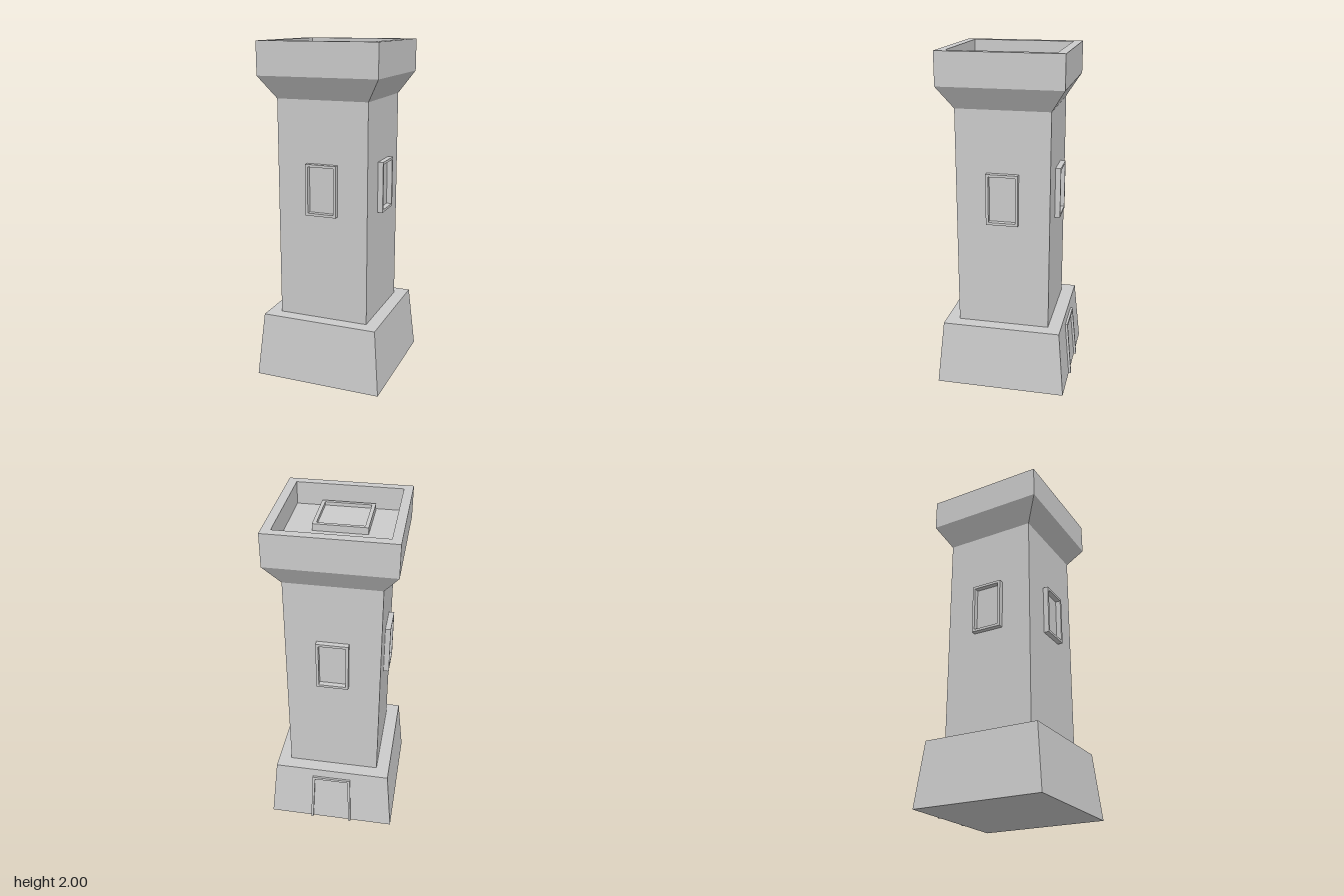
import * as THREE from 'three';

const stone = new THREE.MeshStandardMaterial({ color: 0xcccccc });
stone.name = 'stone';

// Mesh with hard edges
function part(name, geometry) {
  const g = geometry.index ? geometry.toNonIndexed() : geometry;
  g.computeVertexNormals();
  const mesh = new THREE.Mesh(g, stone);
  mesh.name = name;
  return mesh;
}

// Square solid from a profile of [half width, height] points
function squareLathe(name, profile) {
  const points = profile.map(([half, y]) => new THREE.Vector2(half * Math.SQRT2, y));
  return part(name, new THREE.LatheGeometry(points, 4, Math.PI / 4));
}

// Flat outline extruded along +z, with an optional opening
function frame(name, outer, inner, depth) {
  const toPoints = (list) => list.map(([x, y]) => new THREE.Vector2(x, y));
  const shape = new THREE.Shape(toPoints(outer));
  if (inner) shape.holes.push(new THREE.Path(toPoints(inner)));
  return part(name, new THREE.ExtrudeGeometry(shape, { depth, bevelEnabled: false }));
}

const rect = (w, h) => [[-w, -h], [w, -h], [w, h], [-w, h]];

export function createModel() {
  const model = new THREE.Group();
  model.name = 'tower';
  const tower = new THREE.Group();
  tower.name = 'towerBody';
  tower.position.z = 0.007;
  model.add(tower);

  // Sloped plinth, shaft and flared top with a sunken roof
  tower.add(
    squareLathe('plinth', [[0, 0], [0.387, 0], [0.351, 0.385], [0.273, 0.385]]),
    squareLathe('shaft', [[0.273, 0.385], [0.273, 1.68]]),
    squareLathe('parapet', [[0.273, 1.68], [0.356, 1.81], [0.356, 2], [0.305, 2], [0.305, 1.87], [0, 1.87]])
  );

  // One framed window on each side
  for (let i = 0; i < 4; i++) {
    const side = new THREE.Group();
    side.name = 'windowSide' + (i + 1);
    side.rotation.y = (i * Math.PI) / 2;
    const win = frame('windowFrame', rect(0.093, 0.15), rect(0.078, 0.135), 0.031);
    win.position.set(0, 1.17, 0.273);
    side.add(win);
    tower.add(side);
  }

  // Roof hatch with a raised rim
  const hatch = new THREE.Group();
  hatch.name = 'roofHatch';
  hatch.position.set(0, 1.87, 0.13);
  const rim = frame('hatchRim', rect(0.154, 0.154), rect(0.133, 0.133), 0.04);
  rim.rotation.x = -Math.PI / 2;
  const lid = part('hatchLid', new THREE.BoxGeometry(0.266, 0.02, 0.266));
  lid.position.y = 0.01;
  hatch.add(rim, lid);
  tower.add(hatch);

  // Tapered door frame leaning with the back of the plinth
  const back = new THREE.Group();
  back.name = 'doorSide';
  back.rotation.y = Math.PI;
  const door = frame('doorFrame', [
    [-0.129, 0], [-0.115, 0], [-0.104, 0.318], [0.104, 0.318],
    [0.115, 0], [0.129, 0], [0.118, 0.333], [-0.118, 0.333]
  ], null, 0.014);
  door.position.z = 0.387;
  door.rotation.x = -Math.atan2(0.036, 0.385);
  back.add(door);
  tower.add(back);

  return model;
}
